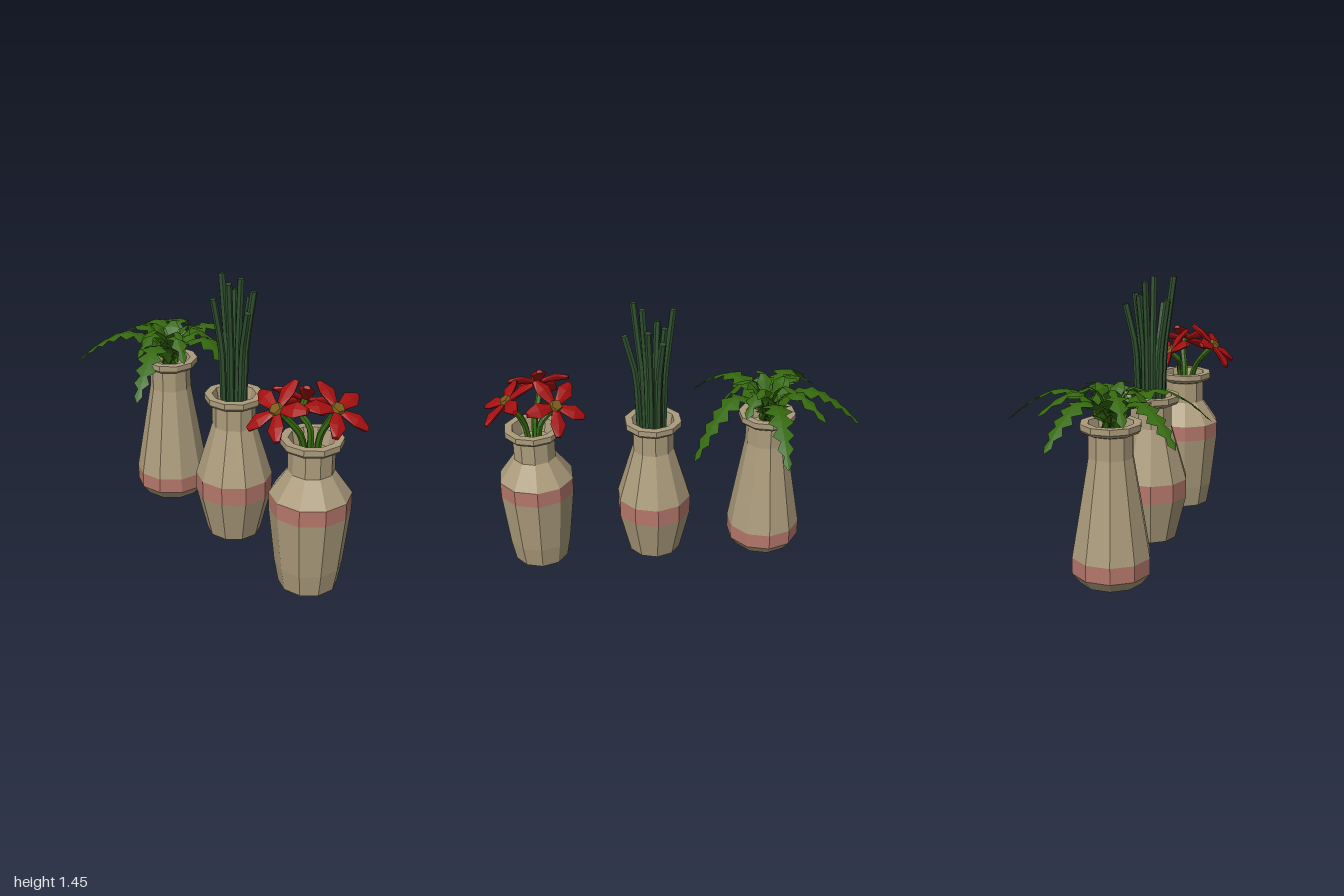
import * as THREE from 'three';
import { ConvexGeometry } from 'three/addons/geometries/ConvexGeometry.js';

const mat = (color, side = THREE.FrontSide) =>
  new THREE.MeshStandardMaterial({ color, flatShading: true, side });
const clay = mat(0xac9c7c);
const pink = mat(0xb5776b);
const reedGreen = mat(0x2f4f2f);
const leafGreen = mat(0x35680f);
const fernGreen = mat(0x35680f, THREE.DoubleSide);
const red = mat(0xa40f0f);
const olive = mat(0x7a5a18);
const V = (x, y, z) => new THREE.Vector3(x, y, z);
const CX = -0.07; // common axis of the three vases

function add(parent, name, geometry, material) {
  const mesh = new THREE.Mesh(geometry, material);
  mesh.name = name;
  parent.add(mesh);
  return mesh;
}

// Ten-sided vase: lower body, painted band, shoulder with neck and lip
function vase(name, z, lower, bandTop) {
  const g = new THREE.Group();
  g.name = name;
  g.position.set(CX, 0, z);
  const turn = (part, pts, m) => add(g, part,
    new THREE.LatheGeometry(pts.map(p => new THREE.Vector2(...p)), 10, Math.PI / 10), m);
  const bandLow = lower[lower.length - 1];
  turn('vaseBody', [[0, lower[0][1]], ...lower], clay);
  turn('vaseBand', [bandLow, bandTop], pink);
  turn('vaseNeck', [bandTop, [0.115, 0.65], [0.115, 0.765], [0.142, 0.775], [0.155, 0.79],
    [0.155, 0.82], [0.115, 0.82], [0.1, 0.74], [0, 0.74]], clay);
  return g;
}

function tube(points, radius, sides, segments) {
  const curve = new THREE.CatmullRomCurve3(points);
  return new THREE.TubeGeometry(curve, segments, radius, sides);
}

// Bare reed: upright from the neck, then leaning outward, with a flat end
function reed(parent, x, y, z) {
  const path = new THREE.CurvePath();
  const base = V(x * 0.5, 0.74, z * 0.5);
  const knee = V(x * 0.6, 1.08, z * 0.6);
  const tip = V(x, y, z);
  path.add(new THREE.LineCurve3(base, knee));
  path.add(new THREE.LineCurve3(knee, tip));
  add(parent, 'reed', new THREE.TubeGeometry(path, 6, 0.018, 6), reedGreen);
  const end = add(parent, 'reedEnd', new THREE.CircleGeometry(0.018, 6), reedGreen);
  const dir = tip.clone().sub(knee).normalize();
  end.position.copy(tip);
  end.quaternion.setFromUnitVectors(V(0, 0, 1), dir);
}

// Blunt faceted petal pointing along +x, with a ridge down the middle
function petalGeometry() {
  const pts = [];
  for (const [r, w, y] of [[0.02, 0.018, 0], [0.105, 0.043, 0.008], [0.168, 0.016, -0.004]]) {
    for (const s of [-1, 1]) pts.push(V(r, y, s * w), V(r, y - 0.012, s * w * 0.8));
    pts.push(V(r, y + 0.008, 0));
  }
  return new ConvexGeometry(pts);
}

// Five-petalled flower on a curved stalk
function flower(parent, pos, normal, spin) {
  const head = new THREE.Group();
  head.name = 'flowerHead';
  head.position.copy(pos);
  head.quaternion.setFromUnitVectors(V(0, 1, 0), normal.clone().normalize());
  const geo = petalGeometry();
  for (let i = 0; i < 5; i++) {
    add(head, 'petal', geo, red).rotation.y = spin + i * Math.PI * 0.4;
  }
  const heart = add(head, 'flowerCentre', new THREE.CylinderGeometry(0.03, 0.042, 0.024, 5), olive);
  heart.position.y = 0.008;
  heart.rotation.y = spin + Math.PI / 10;
  parent.add(head);
  const under = pos.clone().addScaledVector(normal.clone().normalize(), -0.08);
  add(parent, 'flowerStalk', tube([V(pos.x * 0.2, 0.74, pos.z * 0.2),
    V(pos.x * 0.35, 0.85, pos.z * 0.35), under, pos.clone()], 0.017, 6, 8), leafGreen);
}

// Fern frond: arching strip with a zigzag outline, folded along its midrib
function frond(parent, dx, dz, tipY, peak, width, leaflets) {
  const length = Math.hypot(dx, dz);
  const out = V(dx / length, 0, dz / length);
  const side = V(-out.z, 0, out.x);
  const path = new THREE.CatmullRomCurve3(
    [[0, 0.76], [0.15, 0.9], [0.45, peak], [0.75, peak * 0.62 + tipY * 0.38], [1, tipY]]
      .map(([f, y]) => out.clone().multiplyScalar(f * length).setY(y)));
  const n = leaflets * 2;
  const pos = [];
  const index = [];
  for (let i = 0; i <= n; i++) {
    const t = i / n;
    const taper = Math.pow(1 - t, 0.55) * Math.min(1, 0.25 + t * 3);
    const w = i === n ? 0.002 : width * taper * (i % 2 ? 1 : 0.4);
    const p = path.getPointAt(t);
    for (const s of [-1, 0, 1]) {
      const q = p.clone().addScaledVector(side, s * w);
      pos.push(q.x, q.y - Math.abs(s) * w * 0.18, q.z);
    }
    if (i < n) {
      for (const a of [i * 3, i * 3 + 1]) index.push(a, a + 1, a + 3, a + 1, a + 4, a + 3);
    }
  }
  const geo = new THREE.BufferGeometry();
  geo.setAttribute('position', new THREE.Float32BufferAttribute(pos, 3));
  geo.setIndex(index);
  geo.computeVertexNormals();
  add(parent, 'frond', geo, fernGreen);
}

export function createModel() {
  const model = new THREE.Group();
  model.name = 'threeVases';

  // Front vase with red flowers
  const front = vase('flowerVase', 0.752, [[0.148, 0.02], [0.17, 0.14], [0.203, 0.44]], [0.203, 0.525]);
  flower(front, V(0.04, 1.0, 0.125), V(0.05, 0.83, 0.55), 0.3);
  flower(front, V(0.055, 0.96, -0.125), V(0.6, 0.68, -0.38), 0.2);
  flower(front, V(-0.185, 0.995, -0.04), V(-0.7, 0.71, 0.05), 0.1);

  // Middle vase with bare reeds
  const middle = vase('reedVase', 0.115, [[0.144, 0.02], [0.203, 0.26]], [0.203, 0.36]);
  const reeds = [[-0.095, 1.45, 0.085], [0.005, 1.45, 0.05], [0.0, 1.44, -0.11], [-0.1, 1.34, -0.04],
    [0.05, 1.36, -0.06], [0.1, 1.36, 0.03], [0.13, 1.31, -0.04], [-0.02, 1.3, 0.14]];
  for (const r of reeds) reed(middle, ...r);

  // Back vase with a fern
  const back = vase('fernVase', -0.508, [[0.16, 0], [0.203, 0.055]], [0.203, 0.14]);
  // long drooping fronds
  for (const [x, z, y] of [[0.56, 0.01, 0.78], [0.14, -0.48, 0.78], [-0.42, -0.3, 0.8],
    [-0.42, 0.34, 0.77], [0.22, 0.43, 0.67]]) frond(back, x, z, y, 0.965, 0.115, 9);
  // shorter inner fronds
  for (const [x, z, y] of [[0.28, -0.25, 0.88], [-0.17, -0.3, 0.88], [-0.22, 0.02, 0.87],
    [0.22, 0.16, 0.9], [-0.06, 0.24, 0.87]]) frond(back, x, z, y, 0.985, 0.1, 6);
  // top tuft
  for (let i = 0; i < 5; i++) {
    const a = 0.5 + i * Math.PI * 0.4;
    frond(back, 0.19 * Math.cos(a), 0.19 * Math.sin(a), 0.98, 1.0, 0.075, 4);
  }

  model.add(front, middle, back);
  return model;
}
